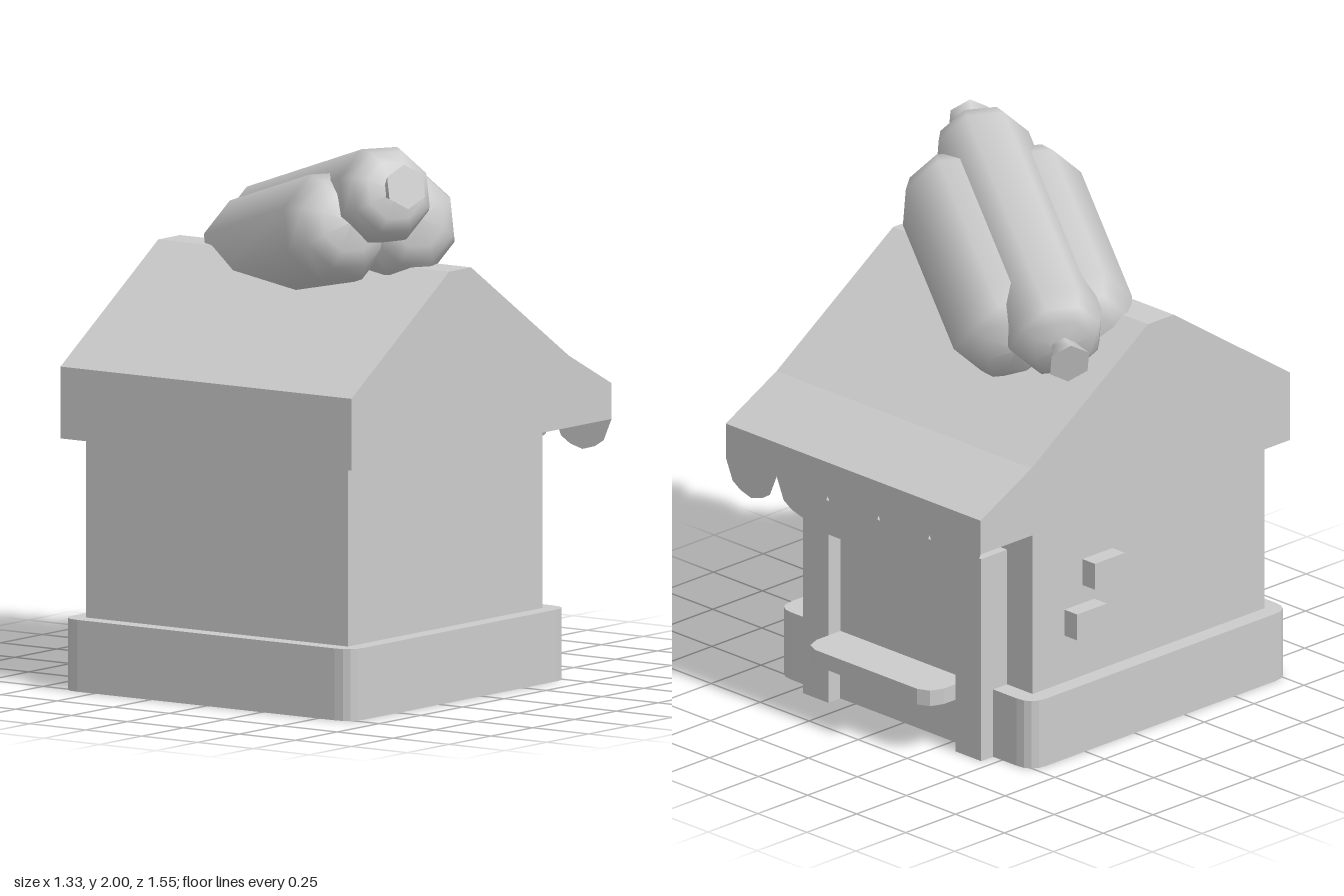
import * as THREE from 'three';

const material = new THREE.MeshStandardMaterial({ color: 0xcccccc });
const thin = new THREE.MeshStandardMaterial({ color: 0xcccccc, side: THREE.DoubleSide });

function add(parent, name, geometry, mat = material) {
  const mesh = new THREE.Mesh(geometry, mat);
  mesh.name = name;
  parent.add(mesh);
  return mesh;
}

// Box given by its limits on each axis
function box(parent, name, [x0, x1], [y0, y1], [z0, z1]) {
  const mesh = add(parent, name, new THREE.BoxGeometry(x1 - x0, y1 - y0, z1 - z0));
  mesh.position.set((x0 + x1) / 2, (y0 + y1) / 2, (z0 + z1) / 2);
  return mesh;
}

// Plan outline (x, z) raised from y0 to y1
function slab(parent, name, shape, y0, y1) {
  const g = new THREE.ExtrudeGeometry(shape, { depth: y1 - y0, bevelEnabled: false, curveSegments: 4 });
  g.rotateX(-Math.PI / 2).translate(0, y0, 0);
  return add(parent, name, g);
}

const outline = (points) => new THREE.Shape(points.map(([x, y]) => new THREE.Vector2(x, y)));

// Faceted, smooth-shaded solid turned around the x axis; profile is [radius, distance]
function turned(parent, name, profile, sides) {
  const g = new THREE.LatheGeometry(profile.map(([r, d]) => new THREE.Vector2(r, d)), sides, Math.PI / sides);
  g.rotateZ(-Math.PI / 2);
  return add(parent, name, g);
}

// Rounded bar, symmetric end to end
function bar(parent, name, halfProfile) {
  const back = halfProfile.map(([r, d]) => [r, -d]);
  return turned(parent, name, [...back, ...halfProfile.slice().reverse()], 8);
}

export function createModel() {
  const model = new THREE.Group();
  model.name = 'foodStand';

  // Plinth with rounded corners
  const w = 0.65, zf = 0.78, zb = -0.52, r = 0.075;
  const plan = new THREE.Shape();
  plan.moveTo(-w + r, -zf);
  plan.lineTo(w - r, -zf);
  plan.quadraticCurveTo(w, -zf, w, -zf + r);
  plan.lineTo(w, -zb - r);
  plan.quadraticCurveTo(w, -zb, w - r, -zb);
  plan.lineTo(-w + r, -zb);
  plan.quadraticCurveTo(-w, -zb, -w, -zb - r);
  plan.lineTo(-w, -zf + r);
  plan.quadraticCurveTo(-w, -zf, -w + r, -zf);
  slab(model, 'plinth', plan, 0, 0.26);

  // Walls
  box(model, 'walls', [-0.585, 0.585], [0.26, 0.91], [-0.45, 0.715]);

  // Roof: gable profile (-z, y) extruded across x
  const gable = outline([
    [-0.78, 0.91], [0.775, 0.91], [0.775, 1.04], [0.52, 1.17],
    [-0.065, 1.56], [-0.195, 1.56], [-0.78, 1.17],
  ]);
  const roof = new THREE.ExtrudeGeometry(gable, { depth: 1.3, bevelEnabled: false });
  roof.translate(0, 0, -0.65).rotateY(Math.PI / 2);
  add(model, 'roof', roof);

  // Scalloped awning edge
  const scallop = [[0, 0.91], [0.035, 0.83], [0.075, 0.805], [0.13, 0.79], [0.185, 0.805], [0.225, 0.83], [0.26, 0.91]];
  for (let i = 0; i < 5; i++) {
    const flap = add(model, 'awningScallop', new THREE.ShapeGeometry(outline(scallop)), thin);
    flap.position.set(-0.65 + i * 0.26, 0, -0.775);
  }

  // Serving hatch: posts, lintel, panel and counter
  for (const s of [-1, 1]) {
    const edges = [s * 0.325, s * 0.455].sort((a, b) => a - b);
    box(model, 'hatchPost', edges, [0, 0.78], [-0.58, -0.45]);
  }
  box(model, 'hatchLintel', [-0.325, 0.325], [0.65, 0.78], [-0.58, -0.45]);
  box(model, 'hatchPanel', [-0.325, 0.325], [0.26, 0.65], [-0.518, -0.45]);
  const counter = outline([
    [-0.325, 0.5], [0.325, 0.5], [0.325, 0.64], [0.305, 0.69], [0.26, 0.71],
    [-0.26, 0.71], [-0.305, 0.69], [-0.325, 0.64],
  ]);
  slab(model, 'counter', counter, 0.2, 0.26);

  // Small blocks on the side wall
  box(model, 'sideBlock', [-0.65, -0.58], [0.44, 0.54], [-0.29, -0.14]);
  box(model, 'sideBlock', [-0.65, -0.58], [0.61, 0.71], [-0.2, -0.05]);

  // Tilted sausage in a bun on the roof
  const hotDog = new THREE.Group();
  hotDog.name = 'hotDog';
  hotDog.rotation.order = 'YXZ';
  hotDog.rotation.set(0, -Math.PI / 6, Math.PI / 12);
  hotDog.position.set(0, 1.698, 0.058);
  model.add(hotDog);

  bar(hotDog, 'sausage', [[0, 0.665], [0.11, 0.645], [0.155, 0.605], [0.18, 0.54]]);
  for (const s of [-1, 1]) {
    const half = bar(hotDog, 'bunHalf', [[0, 0.525], [0.11, 0.505], [0.17, 0.46], [0.21, 0.375]]);
    half.position.set(0, -0.09, s * 0.13);
    const knot = turned(hotDog, 'sausageKnot', [[0.045, 0.62], [0.05, 0.66], [0.08, 0.745]], 6);
    const cap = add(hotDog, 'sausageKnotEnd', new THREE.CircleGeometry(0.08, 6, Math.PI / 6).rotateY(Math.PI / 2).translate(0.745, 0, 0));
    // Turn the second end around to face the other way
    if (s < 0) knot.rotation.y = cap.rotation.y = Math.PI;
    // Match the lathe's corner positions
    cap.geometry.rotateX(Math.PI / 6 - Math.PI / 6);
  }

  return model;
}
